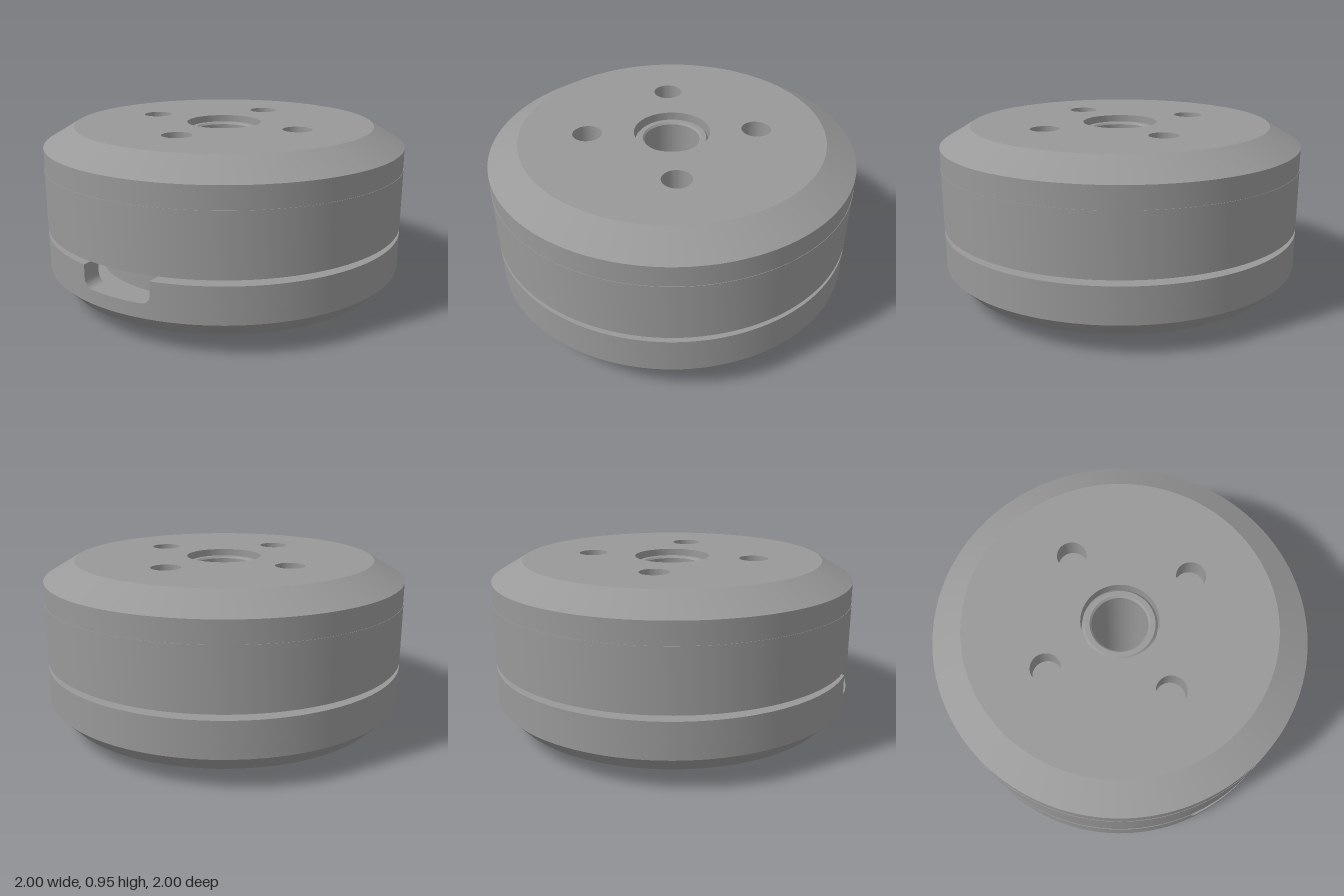
import * as THREE from 'three';
import { toCreasedNormals } from 'three/addons/utils/BufferGeometryUtils.js';

const SEG = 156;        // facets round the body
const NOTCH_SEG = 10;   // facets spanned by the notch
const HALF_PI = Math.PI / 2;
const material = new THREE.MeshStandardMaterial({ color: 0x999999 });

function addMesh(parent, name, geometry) {
  const mesh = new THREE.Mesh(toCreasedNormals(geometry, 0.4), material);
  mesh.name = name;
  parent.add(mesh);
}

// Revolved profile: [radius, height] pairs, solid on the left of the path
function lathe(points) {
  return new THREE.LatheGeometry(points.map(p => new THREE.Vector2(...p)), SEG);
}

// Upright extrusion of a plan shape, where shape y is -z
function extrudeUp(shape, y, height, segments = SEG) {
  const g = new THREE.ExtrudeGeometry(shape, { depth: height, bevelEnabled: false, curveSegments: segments / 2 });
  return g.rotateX(-HALF_PI).translate(0, y, 0);
}

// Disc with round holes: [x, z, radius]
function plate(radius, holes, y, height) {
  const shape = new THREE.Shape().absarc(0, 0, radius, 0, Math.PI * 2);
  for (const [x, z, r] of holes) {
    shape.holes.push(new THREE.Path().absarc(x, -z, r, 0, Math.PI * 2, true));
  }
  return extrudeUp(shape, y, height);
}

export function createModel() {
  const model = new THREE.Group();

  // Upper bell: wall with a fine step, chamfer, drilled top
  const bell = new THREE.Group();
  bell.name = 'bell';
  model.add(bell);
  addMesh(bell, 'bellWall', lathe([[0.7, 0.4], [1, 0.4], [1, 0.73], [0.998, 0.73], [0.998, 0.846], [0.83, 0.946]]));
  const topHoles = [[0.46, 0], [-0.46, 0], [0, 0.46], [0, -0.46]].map(([x, z]) => [x, z, 0.08]);
  addMesh(bell, 'bellTop', plate(0.83, [...topHoles, [0, 0, 0.207]], 0.826, 0.12));
  addMesh(bell, 'topHoleFloor', lathe([[0.82, 0.826], [0.18, 0.826]]));

  // Core seen through the gap and the notch
  addMesh(model, 'core', lathe([[0.715, 0.17], [0.715, 0.41]]));

  // Base cup: chamfered rim, drilled underside
  const base = new THREE.Group();
  base.name = 'base';
  model.add(base);
  const inner = 0.9;
  addMesh(base, 'baseRim', lathe([[0.915, 0.086], [1, 0.175], [1, 0.25], [inner, 0.25], [inner, 0.175]]));
  const mountHoles = [[0.39, 0.39], [-0.39, -0.39], [0.333, -0.333], [-0.333, 0.333]].map(([x, z]) => [x, z, 0.075]);
  addMesh(base, 'baseUnderside', plate(0.915, [...mountHoles, [0, 0, 0.312]], 0.086, 0.089));
  addMesh(base, 'mountHoleFloor', lathe([[0.18, 0.175], [0.7, 0.175]]));
  addMesh(base, 'bearingRing', lathe([[0.18, 0.086], [0.257, 0.086], [0.257, 0.092], [0.314, 0.092]]));

  // Upper part of the cup wall, open at the front for the notch
  const a = Math.PI * NOTCH_SEG / SEG;
  const half = Math.sin(a);
  const b = Math.asin(half / inner);
  const ring = new THREE.Shape()
    .absarc(0, 0, 1, -HALF_PI + a, 1.5 * Math.PI - a, false)
    .absarc(0, 0, inner, 1.5 * Math.PI - b, -HALF_PI + b, true);
  ring.closePath();
  addMesh(base, 'notchedRing', extrudeUp(ring, 0.25, 0.12, SEG - NOTCH_SEG));

  // Rounded lower corners of the notch, bent to the curve of the wall
  for (const s of [1, -1]) {
    const corner = new THREE.Shape();
    corner.moveTo(s * (half - 0.05), 0.25);
    corner.lineTo(s * half, 0.25);
    corner.lineTo(s * half, 0.3);
    corner.absarc(s * (half - 0.05), 0.3, 0.05, s > 0 ? 0 : Math.PI, s > 0 ? -HALF_PI : 1.5 * Math.PI, s > 0);
    const g = new THREE.ExtrudeGeometry(corner, { depth: 1, bevelEnabled: false, curveSegments: 8 });
    const p = g.attributes.position;
    for (let i = 0; i < p.count; i++) {
      const r = p.getZ(i) > 0.5 ? 1 : inner;
      p.setZ(i, Math.sqrt(r * r - p.getX(i) ** 2));
    }
    addMesh(base, s > 0 ? 'notchCornerLeft' : 'notchCornerRight', g);
  }

  // Hollow shaft with a chamfered collar at each end
  addMesh(model, 'shaft', lathe([
    [0.15, 0], [0.188, 0], [0.2, 0.015], [0.2, 0.038], [0.187, 0.045],
    [0.187, 0.87], [0.2, 0.877], [0.2, 0.897], [0.187, 0.912], [0.16, 0.912], [0.15, 0.902], [0.15, 0],
  ]));

  return model;
}
